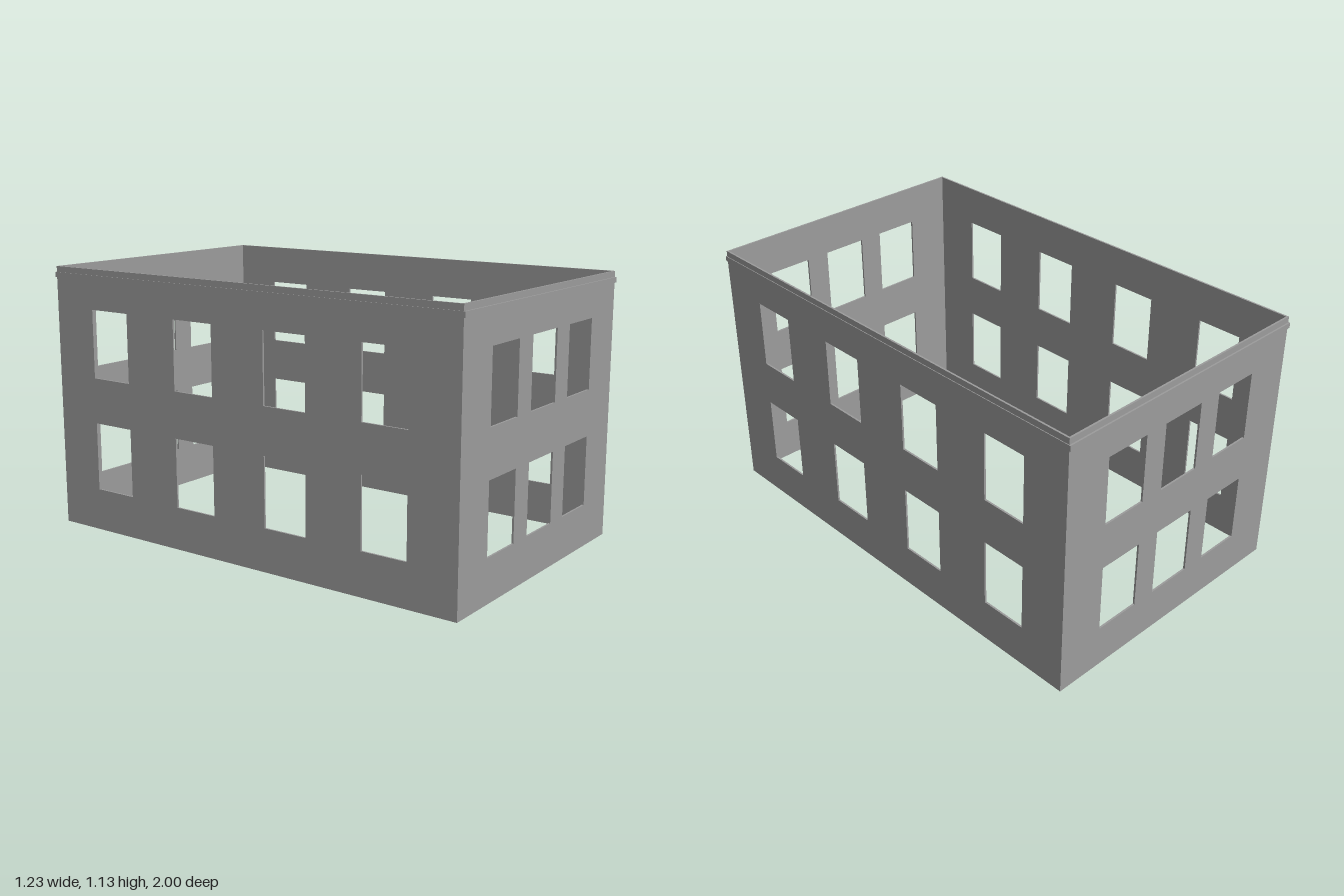
import * as THREE from 'three';

const HX = 0.61, HZ = 0.993;       // outer half width and half depth
const H = 1.127, T = 0.008;        // wall height and thickness
const WIN_W = 0.2, WIN_H = 0.291;  // window opening
const SILLS = [0.18, 0.666];       // window sill heights

// Counter-clockwise rectangle as a point list
const rect = (x0, y0, x1, y1) => [[x0, y0], [x1, y0], [x1, y1], [x0, y1]].map(p => new THREE.Vector2(...p));

// Wall panel with a grid of window openings, outer face at z = 0
function wallGeometry(halfWidth, columns) {
  const shape = new THREE.Shape(rect(-halfWidth, 0, halfWidth, H));
  for (const x of columns)
    for (const y of SILLS)
      shape.holes.push(new THREE.Path(rect(x - WIN_W / 2, y, x + WIN_W / 2, y + WIN_H).reverse()));
  const geo = new THREE.ExtrudeGeometry(shape, { depth: T, bevelEnabled: false });
  return geo.translate(0, 0, -T);
}

export function createModel() {
  const group = new THREE.Group();
  const material = new THREE.MeshStandardMaterial({ color: 0x9c9c9c });
  const add = (name, geo) => {
    const mesh = new THREE.Mesh(geo, material);
    mesh.name = name;
    group.add(mesh);
    return mesh;
  };

  // End walls: three windows per floor
  const endGeo = wallGeometry(HX, [-0.305, 0, 0.305]);
  add('frontWall', endGeo).position.z = HZ;
  const back = add('backWall', endGeo);
  back.position.z = -HZ;
  back.rotation.y = Math.PI;

  // Long walls: four windows per floor, fitted between the end walls
  const windowZ = [0.68, 0.227, -0.231, -0.687];
  for (const s of [1, -1]) {
    const wall = add(s > 0 ? 'leftWall' : 'rightWall', wallGeometry(HZ - T, windowZ.map(z => -s * z)));
    wall.position.x = s * HX;
    wall.rotation.y = s * Math.PI / 2;
  }

  // Thin string course running round the building, deeper on the end walls
  const px = 0.003, pz = 0.007, inset = T / 2;
  const ring = new THREE.Shape(rect(-HX - px, -HZ - pz, HX + px, HZ + pz));
  ring.holes.push(new THREE.Path(rect(-HX + inset, -HZ + inset, HX - inset, HZ - inset).reverse()));
  const trim = new THREE.ExtrudeGeometry(ring, { depth: 0.022, bevelEnabled: false });
  add('corniceBand', trim.rotateX(-Math.PI / 2)).position.y = 1.08;

  return group;
}
